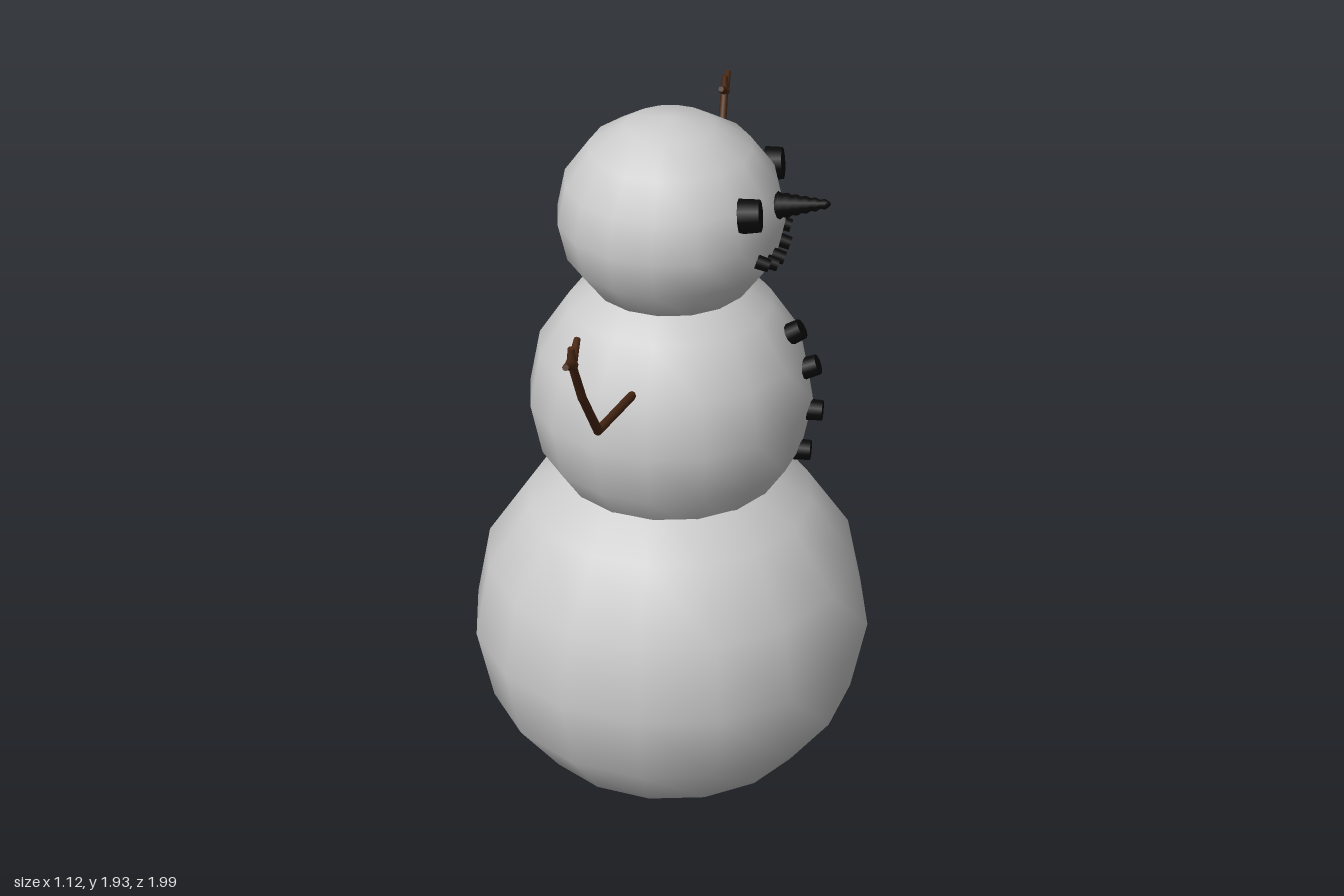
import * as THREE from 'three';
import { mergeVertices } from 'three/addons/utils/BufferGeometryUtils.js';

const snow = new THREE.MeshStandardMaterial({ color: 0xcccccc });
const coal = new THREE.MeshStandardMaterial({ color: 0x080808 });
const wood = new THREE.MeshStandardMaterial({ color: 0x4a2814 });
const CZ = 0.022;
const HEAD = { r: 0.303, ry: 0.275, y: 1.655 };
const CHEST = { r: 0.388, ry: 0.388, y: 1.13 };

export function createModel() {
  const model = new THREE.Group();
  model.name = 'snowman';

  const add = (name, geometry, material, parent = model) => {
    const mesh = new THREE.Mesh(geometry, material);
    mesh.name = name;
    parent.add(mesh);
    return mesh;
  };

  // Coarse smooth snowball, leaning slightly, with an optional vertex rule
  const ball = (name, { r, ry, y }, tilt, rule) => {
    let g = new THREE.SphereGeometry(r, 16, 8);
    g.scale(1, ry / r, 1).rotateX(tilt).translate(0, y, CZ);
    g.deleteAttribute('uv');
    g.deleteAttribute('normal');
    g = mergeVertices(g, 1e-4);
    if (rule) {
      const p = g.attributes.position;
      for (let i = 0; i < p.count; i++) p.setY(i, rule(p.getY(i), p.getZ(i)));
    }
    g.computeVertexNormals();
    return add(name, g, snow);
  };

  // Base: underside lifted on the -z side and settled flat on the ground
  ball('base', { r: 0.558, ry: 0.558, y: 0.43 }, 0.035, (y, z) => {
    const side = THREE.MathUtils.smoothstep(-z, -0.02, 0.25);
    y += 0.12 * side * THREE.MathUtils.clamp((0.46 - y) / 0.3, 0, 1);
    return y < 0.08 ? 0.08 - 0.08 * Math.tanh((0.08 - y) / 0.1) : y;
  });
  ball('chest', CHEST, 0.02);
  ball('head', HEAD, 0.05);

  // x of a snowball's surface, on the face side
  const surfaceX = ({ r, ry, y: cy }, y, z) =>
    r * Math.sqrt(1 - ((y - cy) / ry) ** 2 - ((z - CZ) / r) ** 2);

  // Coal lump: short cylinder pointing out along +x, pitched upward
  const lump = (name, on, y, z, radius, depth, pitch = 0, tall = 1) => {
    const g = new THREE.CylinderGeometry(radius * 0.92, radius, depth, 10);
    g.rotateZ(-Math.PI / 2).scale(1, tall, 1).rotateZ(pitch);
    g.translate(surfaceX(on, y, z) + 0.006, y, z);
    return add(name, g, coal);
  };

  lump('leftEye', HEAD, 1.755, -0.11, 0.042, 0.045, 0.1, 1.1);
  lump('rightEye', HEAD, 1.74, 0.2, 0.042, 0.055, 0.1, 1.1);

  [[1.593, 0.166], [1.572, 0.113], [1.567, 0.06], [1.583, 0], [1.604, -0.064]]
    .forEach(([y, z], i) => lump(`mouth${i + 1}`, HEAD, y, z, 0.019, 0.035, -0.3));

  [[1.335, 0.55], [1.235, 0.4], [1.105, 0], [0.98, 0]]
    .forEach(([y, pitch], i) => lump(`button${i + 1}`, CHEST, y, 0.032, 0.03, 0.045, pitch));

  // Ridged carrot nose
  const profile = [[0, 0], [0.037, 0]];
  for (let i = 0; i < 6; i++) {
    const r = 0.037 - i * 0.0047;
    profile.push([r, 0.02 + i * 0.024], [r - 0.006, 0.03 + i * 0.024]);
  }
  profile.push([0, 0.156]);
  const nose = add('nose', new THREE.LatheGeometry(
    profile.map(([x, y]) => new THREE.Vector2(x, y)), 10), coal);
  nose.rotation.z = -Math.PI / 2 + 0.1;
  nose.position.set(0.268, 1.703, 0.045);

  // Tapered stick between two points
  const stick = (name, a, b, r0, r1, parent) => {
    const dir = b.clone().sub(a);
    const mesh = add(name, new THREE.CylinderGeometry(r1, r0, dir.length(), 8), wood, parent);
    mesh.position.copy(a).addScaledVector(dir, 0.5);
    mesh.quaternion.setFromUnitVectors(new THREE.Vector3(0, 1, 0), dir.normalize());
  };

  // Twig arm: bent branch with three fingers at the end
  const arm = (name, side, lift, path) => {
    const group = new THREE.Group();
    group.name = name;
    model.add(group);
    const pts = path.map(([x, y, z]) => new THREE.Vector3(x, y + lift, z * side));
    for (let i = 0; i < pts.length - 1; i++) {
      stick('branch', pts[i], pts[i + 1], 0.012, 0.011, group);
      add('joint', new THREE.SphereGeometry(i === pts.length - 2 ? 0.016 : 0.0115, 8, 6), wood, group)
        .position.copy(pts[i + 1]);
    }
    const wrist = pts[pts.length - 1];
    [[0.075, 0.03], [0.005, 0.045], [-0.07, 0.032]].forEach(([dz, dy]) =>
      stick('finger', wrist, wrist.clone().add(new THREE.Vector3(0, dy, dz * side)), 0.013, 0.008, group));
  };
  arm('rightArm', 1, 0,
    [[-0.045, 1.28, 0.34], [-0.073, 1.36, 0.695], [-0.083, 1.53, 0.84], [-0.09, 1.66, 0.92]]);
  arm('leftArm', -1, -0.038,
    [[0.018, 1.28, 0.32], [0.012, 1.36, 0.69], [0.008, 1.53, 0.84], [0.006, 1.66, 0.915]]);

  return model;
}
